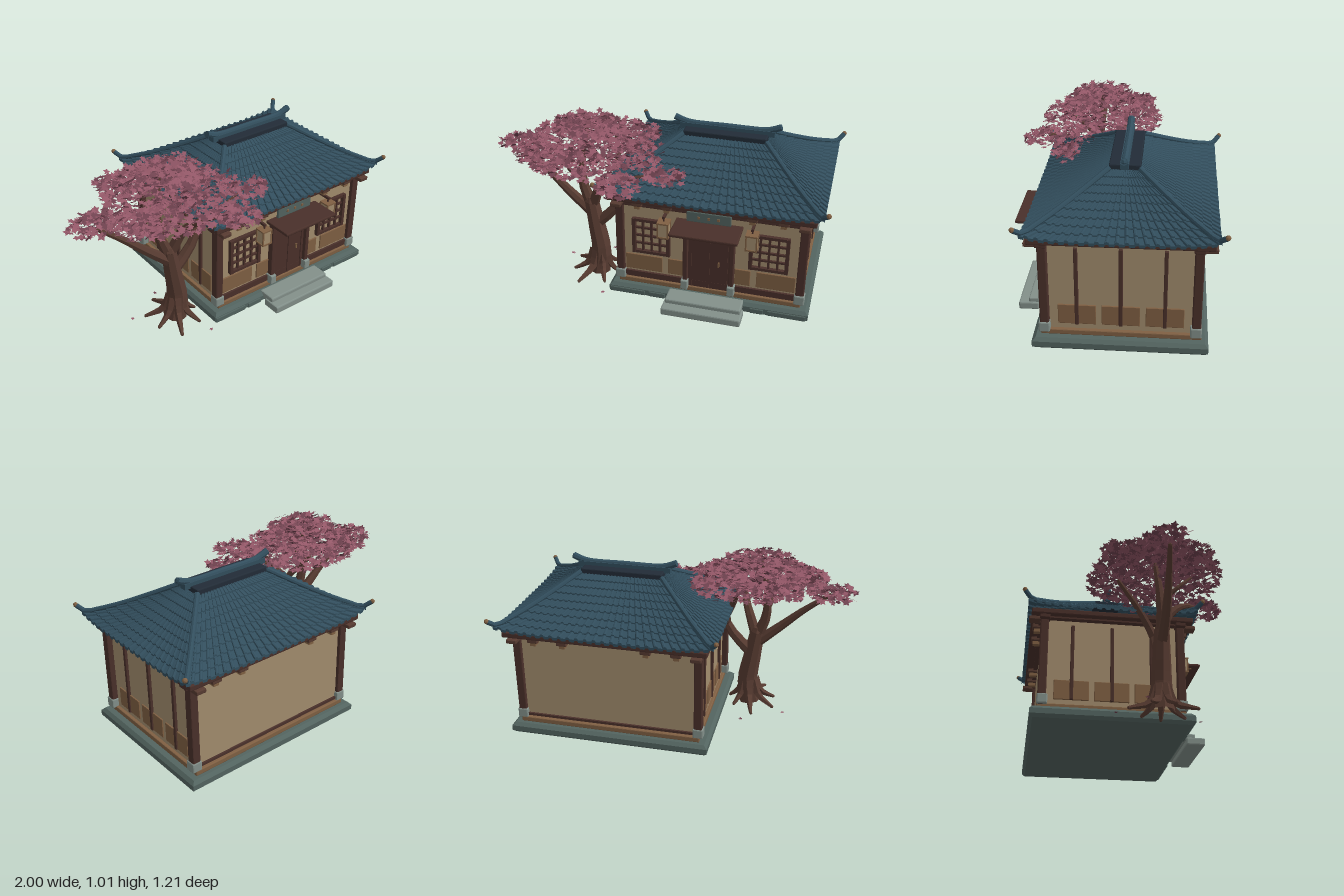
import * as THREE from 'three';
import { mergeGeometries } from 'three/addons/utils/BufferGeometryUtils.js';
import { RoundedBoxGeometry } from 'three/addons/geometries/RoundedBoxGeometry.js';

const material = (name, color, extra = {}) => {
  const m = new THREE.MeshStandardMaterial({ color, flatShading: true, ...extra });
  m.name = name;
  return m;
};
const V = (x, y, z) => new THREE.Vector3(x, y, z);
const CX = 0.345, CZ = -0.077; // centre of the house

export function createModel() {
  const model = new THREE.Group();
  const double = { side: THREE.DoubleSide };
  const plaster = material('plaster', 0xa38d6e);
  const darkWood = material('dark wood', 0x4a302a);
  const wood = material('warm wood', 0x806043);
  const paleStone = material('pale stone', 0x83908a);
  const slate = material('slate stone', 0x536460);
  const tile = material('roof tile', 0x324e5d, double);
  const ridgeTile = material('ridge tile', 0x222c37);
  const bark = material('bark', 0x573b31);
  const leafLight = material('rose leaf', 0x935767, double);
  const leafDark = material('plum leaf', 0x6f424f, double);

  const add = (name, geometry, mat) => {
    const mesh = new THREE.Mesh(geometry, mat);
    mesh.name = name;
    model.add(mesh);
    return mesh;
  };
  // Box given by its extents, with an optional bevel
  const box = (name, mat, x0, x1, y0, y1, z0, z1, bevel = 0) => {
    const s = [x1 - x0, y1 - y0, z1 - z0];
    const g = bevel ? new RoundedBoxGeometry(...s, 1, bevel) : new THREE.BoxGeometry(...s);
    g.translate((x0 + x1) / 2, (y0 + y1) / 2, (z0 + z1) / 2);
    return add(name, g, mat);
  };
  // Tube through points whose radius shrinks from r0 to r1
  const limb = (name, mat, points, r0, r1, sides = 7, rings = 8) => {
    const curve = new THREE.CatmullRomCurve3(points);
    const g = new THREE.TubeGeometry(curve, rings, 1, sides);
    const p = g.attributes.position, c = V(0, 0, 0), v = V(0, 0, 0);
    for (let i = 0; i < p.count; i++) {
      const t = Math.floor(i / (sides + 1)) / rings;
      curve.getPointAt(t, c);
      v.fromBufferAttribute(p, i).sub(c).multiplyScalar(r0 + (r1 - r0) * t).add(c);
      p.setXYZ(i, v.x, v.y, v.z);
    }
    g.computeVertexNormals();
    const tip = new THREE.SphereGeometry(r1, sides, 4);
    tip.translate(...points[points.length - 1].toArray());
    return add(name, mergeGeometries([g, tip]), mat);
  };

  // Foundation with chamfered edges, and steps
  const chamfer = 0.018, plinth = new THREE.Shape();
  [[-0.24, -0.537], [0.93, -0.537], [0.93, 0.387], [-0.24, 0.387]].forEach(([x, z], i) => {
    const sx = x < 0 ? chamfer : -chamfer, sz = z < 0 ? chamfer : -chamfer;
    plinth[i ? 'lineTo' : 'moveTo'](x + sx, -z - sz);
  });
  const plinthGeometry = new THREE.ExtrudeGeometry(plinth, {
    depth: 0.067 - 2 * chamfer, bevelSize: chamfer, bevelThickness: chamfer, bevelSegments: 1,
  });
  plinthGeometry.rotateX(-Math.PI / 2).translate(0, 0.01 + chamfer, 0);
  add('foundation', plinthGeometry, slate);
  [[-0.235, -0.02], [0.0, 0.1], [0.6, 0.68], [0.7, 0.92]].forEach(([a, b]) =>
    box('foundationSlab', slate, a, b, 0.022, 0.055, 0.37, 0.392, 0.005));
  box('lowerStep', paleStone, 0.11, 0.57, 0.01, 0.056, 0.41, 0.525, 0.008);
  box('upperStep', paleStone, 0.12, 0.56, 0.04, 0.082, 0.355, 0.468, 0.008);

  // Walls, sills and beams
  box('walls', plaster, -0.17, 0.86, 0.077, 0.65, -0.477, 0.325);
  box('baseBoard', wood, -0.19, 0.88, 0.077, 0.108, -0.5, 0.345, 0.005);
  for (const z of [0.325, -0.479])
    box('wallSill', darkWood, -0.18, 0.87, 0.115, z > 0 ? 0.152 : 0.13, z - 0.01, z + 0.014);
  box('frontBeam', darkWood, -0.2, 0.89, 0.595, 0.645, 0.31, 0.345, 0.005);
  box('wallPlate', darkWood, -0.205, 0.895, 0.632, 0.65, -0.505, 0.355);
  box('eaveBeam', darkWood, -0.24, 0.93, 0.642, 0.675, -0.55, 0.395, 0.006);

  // Corner posts on stone feet, with eave brackets
  for (const s of [-1, 1]) for (const z of [0.322, -0.472]) {
    const x = CX + s * 0.525, out = Math.sign(z);
    box('cornerPost', darkWood, x - 0.024, x + 0.024, 0.1, 0.65, z - 0.024, z + 0.024, 0.006);
    box('postFoot', paleStone, x - 0.03, x + 0.03, 0.1, 0.16, z - 0.028, z + 0.032, 0.007);
    const mid = z + out * 0.058;
    box('cornerBracket', bark, x - 0.03, x + 0.03, 0.613, 0.637, mid - 0.033, mid + 0.033, 0.005);
    box('crossBracket', darkWood, x - 0.05, x + 0.05, 0.62, 0.645, z - 0.03, z + 0.03, 0.005);
    for (const d of [0.24, 0.41]) {
      const bx = CX + s * d, bz = out > 0 ? 0.35 : -0.505;
      box('eaveBracket', bark, bx - 0.03, bx + 0.03, 0.618, 0.645, bz - 0.035, bz + 0.035, 0.005);
      box('bracketBlock', wood, bx - 0.016, bx + 0.016, 0.598, 0.62, bz - 0.025, bz + 0.025);
    }
  }

  // Side battens and panels
  for (const x of [-0.172, 0.862]) for (let i = -1; i <= 1; i++) {
    const z = CZ + i * 0.23;
    box('sidePanel', wood, x - 0.006, x + 0.006, 0.14, 0.257, z - 0.1, z + 0.1, 0.003);
    box('sideBatten', darkWood, x - 0.014, x + 0.014, 0.14, 0.6, z - 0.01, z + 0.01, 0.003);
  }

  // Front windows, panels, door posts and lanterns, mirrored about the door
  for (const s of [-1, 1]) {
    const span = (name, mat, a, b, ...rest) =>
      box(name, mat, CX + Math.min(s * a, s * b), CX + Math.max(s * a, s * b), ...rest);
    span('frontPanel', wood, 0.275, 0.495, 0.165, 0.267, 0.32, 0.333, 0.003);
    span('frontPanel', wood, 0.15, 0.24, 0.165, 0.267, 0.32, 0.333, 0.003);
    for (const d of [0.235, 0.438]) span('windowStile', darkWood, d - 0.008, d + 0.012, 0.29, 0.515, 0.32, 0.349);
    for (const y of [0.29, 0.5]) span('windowRail', darkWood, 0.227, 0.45, y, y + 0.017, 0.32, 0.347);
    for (let i = 1; i < 4; i++) {
      const d = 0.238 + i * 0.05, y = 0.302 + i * 0.051;
      span('latticeBar', darkWood, d - 0.006, d + 0.006, 0.3, 0.51, 0.322, 0.34);
      span('latticeBar', darkWood, 0.235, 0.44, y - 0.006, y + 0.006, 0.322, 0.338);
    }
    span('doorPost', darkWood, 0.12, 0.148, 0.1, 0.535, 0.32, 0.36, 0.005);
    span('doorPostFoot', paleStone, 0.115, 0.157, 0.1, 0.16, 0.32, 0.375, 0.006);
    limb('canopyStrut', wood, [V(CX + s * 0.155, 0.53, 0.35), V(CX + s * 0.155, 0.538, 0.4), V(CX + s * 0.155, 0.545, 0.47)], 0.012, 0.01, 4, 2);
    // Lantern with posts, caps and hanging rod
    const x = CX + s * 0.248, z = 0.395;
    box('lanternPaper', plaster, x - 0.029, x + 0.029, 0.468, 0.552, z - 0.029, z + 0.029);
    for (const y of [0.461, 0.549]) box('lanternCap', wood, x - 0.034, x + 0.034, y, y + 0.009, z - 0.034, z + 0.034);
    for (const a of [-1, 1]) for (const b of [-1, 1])
      box('lanternPost', wood, x + a * 0.029 - 0.004, x + a * 0.029 + 0.004, 0.465, 0.555, z + b * 0.029 - 0.004, z + b * 0.029 + 0.004);
    box('lanternRod', darkWood, x - 0.004, x + 0.004, 0.44, 0.59, z - 0.004, z + 0.004);
    box('lanternArm', darkWood, x - 0.007, x + 0.007, 0.575, 0.59, 0.325, 0.405);
  }

  // Door, canopy and sign board
  box('door', darkWood, 0.225, 0.465, 0.11, 0.52, 0.32, 0.338);
  for (const x of [0.241, 0.345, 0.449]) box('doorStile', darkWood, x - 0.006, x + 0.006, 0.115, 0.512, 0.33, 0.344);
  box('doorHandle', wood, 0.4, 0.408, 0.27, 0.3, 0.336, 0.349);
  box('doorLintel', darkWood, 0.185, 0.505, 0.515, 0.54, 0.32, 0.37, 0.005);
  box('canopy', darkWood, 0.155, 0.535, 0.543, 0.562, 0.34, 0.525, 0.006);
  box('signBoard', slate, 0.22, 0.47, 0.565, 0.628, 0.355, 0.372, 0.004);
  for (const x of [0.29, 0.345, 0.4]) box('signStud', wood, x - 0.007, x + 0.007, 0.589, 0.603, 0.37, 0.377);

  // Roof surface: side k, u across (-1..1), t from ridge to eave, h above the surface
  const top = [0.24, 0.08], eave = [0.62, 0.495];
  const roofPoint = (k, u, t, h = 0) => {
    const a = k * Math.PI / 2, s = Math.sin(a), c = Math.cos(a), i = k % 2;
    const along = u * (top[i] + (eave[i] - top[i]) * t);
    const out = top[1 - i] + (eave[1 - i] - top[1 - i]) * t;
    const y = 0.908 - 0.244 * t + 0.014 * t ** 4 + 0.028 * t ** 3 * Math.abs(u) ** 5 + h;
    return V(CX + c * along + s * out, y, CZ - s * along + c * out);
  };
  // Stepped courses with a rounded rib on every column
  const verts = [], rows = 9;
  const quad = (a, b, c, d) => [a, b, c, a, c, d].forEach(p => verts.push(p.x, p.y, p.z));
  const rib = [0, 0, 0.8, 1, 0.8, 0], ribU = [0, 0.5, 0.58, 0.75, 0.92, 1];
  for (let k = 0; k < 4; k++) {
    const cols = k % 2 ? 20 : 25;
    for (let r = 0; r < rows; r++) for (let c = 0; c < cols; c++) for (let j = 0; j < 5; j++) {
      const t0 = r / rows, t1 = (r + 1) / rows;
      const at = (m, t, lift) => roofPoint(k, -1 + 2 * (c + ribU[m]) / cols, t, rib[m] * 0.011 * (0.3 + 0.7 * t) + lift);
      quad(at(j, t0, 0), at(j, t1, 0.008), at(j + 1, t1, 0.008), at(j + 1, t0, 0));
      const drop = r === rows - 1 ? -0.008 : 0;
      quad(at(j, t1, 0.008), at(j, t1, drop), at(j + 1, t1, drop), at(j + 1, t1, 0.008));
    }
  }
  const roof = new THREE.BufferGeometry();
  roof.setAttribute('position', new THREE.Float32BufferAttribute(verts, 3));
  roof.computeVertexNormals();
  add('tiledRoof', roof, tile);

  // Hip ridges with upturned tips and wooden end caps
  for (const sx of [-1, 1]) for (const sz of [-1, 1]) {
    const k = sz > 0 ? 0 : 2;
    const path = [0, 0.3, 0.6, 0.85, 0.96].map(t => roofPoint(k, sx * sz, t, 0.01));
    const tip = V(CX + sx * 0.637, 0.75, CZ + sz * 0.515);
    limb('hipRidge', tile, [...path, tip], 0.015, 0.014, 8, 14);
    const cap = add('hipCap', new THREE.SphereGeometry(0.014, 8, 6), wood);
    cap.position.copy(tip).add(V(sx * 0.004, 0.005, sz * 0.004));
  }
  box('ridgeBase', ridgeTile, CX - 0.24, CX + 0.24, 0.9, 0.937, CZ - 0.083, CZ + 0.083, 0.006);
  box('ridgeWall', tile, CX - 0.275, CX + 0.275, 0.925, 0.958, CZ - 0.022, CZ + 0.022);
  limb('ridgeCap', tile, [-0.298, -0.25, -0.2, 0, 0.2, 0.25, 0.298].map((x, i) =>
    V(CX + x, [0.98, 0.962, 0.954, 0.954, 0.954, 0.962, 0.98][i], CZ)), 0.019, 0.019, 8, 24);
  for (const s of [-1, 1]) {
    const end = add('ridgeEnd', new THREE.CylinderGeometry(0.02, 0.02, 0.04, 8), tile);
    end.position.set(CX + s * 0.29, 0.976, CZ);
    end.rotation.z = Math.PI / 2 + s * 0.4;
  }

  // Tree trunk, roots and branches
  limb('trunk', bark, [V(-0.38, 0.012, 0.17), V(-0.36, 0.15, 0.17), V(-0.385, 0.33, 0.17), V(-0.41, 0.49, 0.17)], 0.07, 0.044, 8);
  for (let i = 0; i < 7; i++) {
    const a = i * Math.PI / 3.5 + 0.1, len = 0.14 + 0.025 * (i % 3), c = Math.cos(a), s = Math.sin(a);
    limb('root', bark, [V(-0.37 + c * 0.03, 0.16, 0.17 + s * 0.03), V(-0.375 + c * 0.07, 0.065, 0.17 + s * 0.07),
      V(-0.39 + c * len, 0.018, 0.17 + s * len)], 0.033, 0.01, 5, 5);
  }
  const branches = [
    [0.036, 0.012, V(-0.4, 0.41, 0.17), V(-0.55, 0.54, 0.17), V(-0.68, 0.66, 0.16), V(-0.83, 0.78, 0.14)],
    [0.037, 0.01, V(-0.41, 0.46, 0.17), V(-0.46, 0.6, 0.16), V(-0.465, 0.73, 0.15), V(-0.43, 0.95, 0.13)],
    [0.034, 0.01, V(-0.4, 0.47, 0.17), V(-0.34, 0.62, 0.22), V(-0.29, 0.72, 0.32), V(-0.17, 0.78, 0.43)],
    [0.036, 0.012, V(-0.37, 0.35, 0.17), V(-0.27, 0.45, 0.17), V(-0.215, 0.55, 0.16), V(-0.27, 0.7, 0.06), V(-0.32, 0.84, -0.06)],
    [0.018, 0.007, V(-0.46, 0.64, 0.16), V(-0.5, 0.72, 0.25), V(-0.48, 0.8, 0.33)],
    [0.016, 0.006, V(-0.31, 0.68, 0.28), V(-0.15, 0.74, 0.3), V(0.06, 0.77, 0.25)],
  ];
  branches.forEach(([r0, r1, ...points]) => limb('branch', bark, points, r0, r1));

  // Foliage pads made of small star leaves
  let seed = 7;
  const rand = () => (seed = (seed * 16807) % 2147483647) / 2147483647;
  const star = new THREE.Shape(Array.from({ length: 10 }, (_, i) => {
    const r = i % 2 ? 0.55 : 1, a = i * Math.PI / 5;
    return new THREE.Vector2(r * Math.cos(a), r * Math.sin(a));
  }));
  const leaf = new THREE.ShapeGeometry(star).rotateX(-Math.PI / 2);
  const leaves = [[], []];
  const dummy = new THREE.Object3D();
  const putLeaf = (x, y, z, size, tilt) => {
    dummy.position.set(x, y, z);
    dummy.rotation.set((rand() - 0.5) * tilt, rand() * 6.28, (rand() - 0.5) * tilt);
    dummy.scale.setScalar(size);
    dummy.updateMatrix();
    leaves[rand() < 0.65 ? 0 : 1].push(leaf.clone().applyMatrix4(dummy.matrix));
  };
  // Each pad: centre x, y, z, then radii x, y, z
  const pads = [
    [-0.83, 0.8, 0.13, 0.15, 0.025, 0.125], [-0.42, 0.96, 0.13, 0.21, 0.026, 0.18],
    [-0.45, 0.88, 0.13, 0.31, 0.03, 0.24], [-0.32, 0.85, -0.08, 0.27, 0.03, 0.16],
    [-0.44, 0.81, 0.32, 0.28, 0.03, 0.18], [-0.15, 0.775, 0.46, 0.12, 0.032, 0.125],
    [0.06, 0.775, 0.26, 0.12, 0.028, 0.12], [-0.13, 0.83, 0.15, 0.16, 0.03, 0.18],
    [-0.68, 0.82, 0.27, 0.13, 0.028, 0.14], [-0.6, 0.865, -0.08, 0.1, 0.028, 0.12],
  ];
  for (const [x, y, z, rx, ry, rz] of pads) {
    const count = Math.round(rx * rz * 6500) + 50;
    for (let i = 0; i < count; i++) {
      const a = rand() * 6.283, r = Math.sqrt(rand());
      const h = (1 - r * r) * 0.6 + (rand() - 0.5) * 1.5;
      putLeaf(x + rx * r * Math.cos(a), y + ry * h, z + rz * r * Math.sin(a), 0.017 + rand() * 0.011, 1.3);
    }
  }
  // Fallen leaves on the ground
  [[-0.28, 0.4], [-0.6, 0.05], [-0.36, -0.08]].forEach(([x, z]) => putLeaf(x, 0.008, z, 0.014, 0.2));
  add('roseLeaves', mergeGeometries(leaves[0]), leafLight);
  add('plumLeaves', mergeGeometries(leaves[1]), leafDark);
  return model;
}
